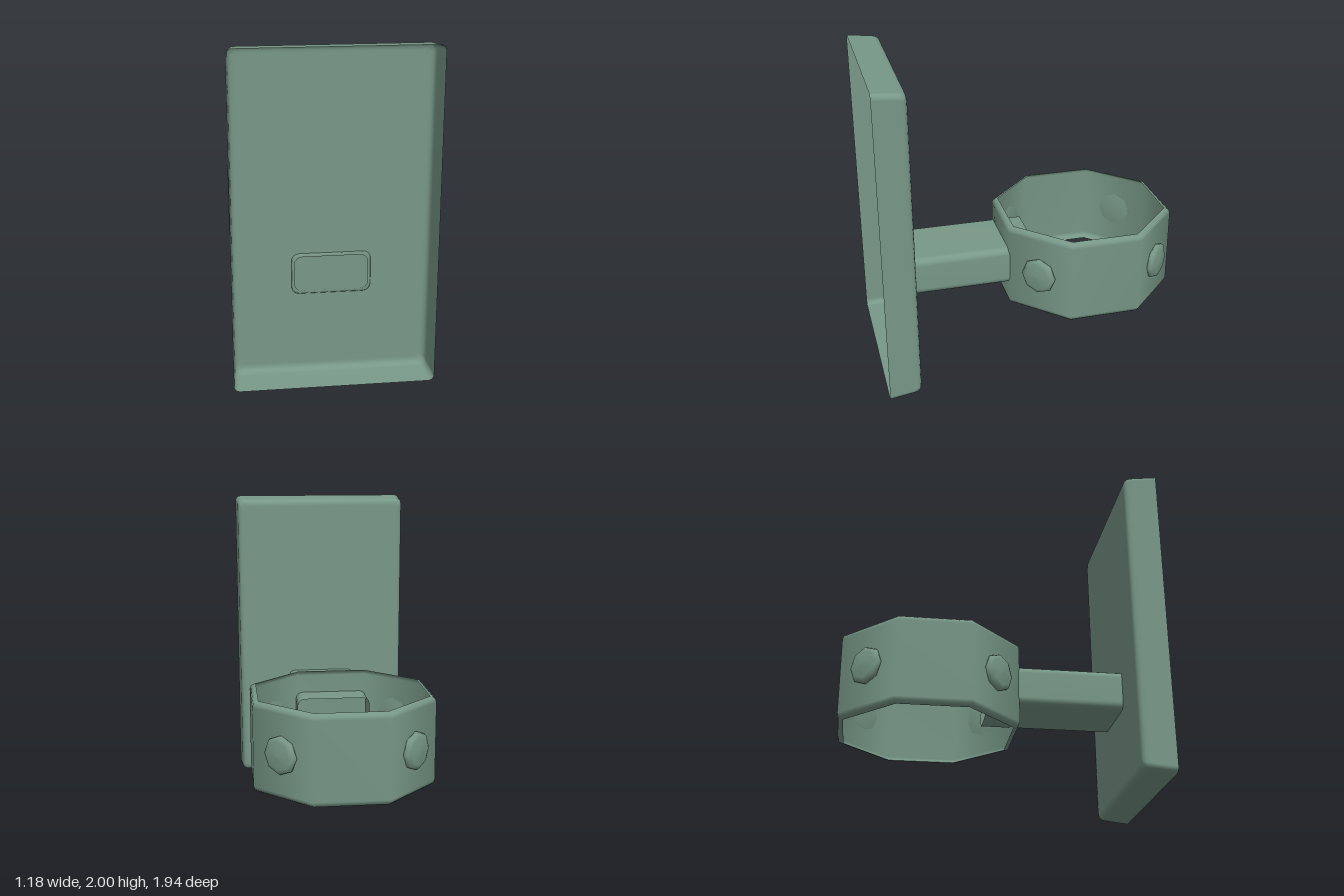
import * as THREE from 'three';

// Rounded rectangle outline, counter-clockwise seen from +z
function roundedLoop(hw, hh, r, z, cy) {
  const pts = [];
  const corners = [[1, 1], [-1, 1], [-1, -1], [1, -1]];
  corners.forEach(([sx, sy], c) => {
    for (let i = 0; i <= 4; i++) {
      const a = (c + i / 4) * Math.PI / 2;
      pts.push([sx * (hw - r) + r * Math.cos(a), cy + sy * (hh - r) + r * Math.sin(a), z]);
    }
  });
  return pts;
}

// Skin through loops ordered from front to back, with an optional back cap
function loft(loops, capCentre) {
  const n = loops[0].length, pos = loops.flat(2), index = [];
  for (let k = 0; k < loops.length - 1; k++) {
    for (let i = 0; i < n; i++) {
      const j = (i + 1) % n, a = k * n, b = a + n;
      index.push(a + i, b + i, a + j, a + j, b + i, b + j);
    }
  }
  if (capCentre) {
    const last = (loops.length - 1) * n, c = loops.length * n;
    pos.push(...capCentre);
    for (let i = 0; i < n; i++) index.push(last + i, c, last + (i + 1) % n);
  }
  const g = new THREE.BufferGeometry();
  g.setAttribute('position', new THREE.Float32BufferAttribute(pos, 3));
  g.setIndex(index);
  g.computeVertexNormals();
  return g;
}

export function createModel() {
  const group = new THREE.Group();
  const green = new THREE.MeshStandardMaterial({ color: 0x789888, side: THREE.DoubleSide });
  green.name = 'greyGreen';
  const add = (geometry, name) => {
    const m = new THREE.Mesh(geometry, green);
    m.name = name;
    group.add(m);
    return m;
  };

  // Shallow tray, open to the front, tapering to a rounded back
  const trayRows = [[0.59, 1, 0.97], [0.578, 0.985, 0.81], [0.574, 0.98, 0.79],
    [0.565, 0.97, 0.775], [0.548, 0.953, 0.768], [0.53, 0.935, 0.768]];
  add(loft(trayRows.map(([w, h, z]) => roundedLoop(w, h, 0.035, z, 1)), [0, 1, 0.768]), 'tray');

  // Hollow arm whose front lip pokes just through the tray floor
  const armRows = [[0.215, 0.106, 0.776], [0.228, 0.12, 0.776], [0.233, 0.125, 0.77], [0.233, 0.125, -0.06]];
  add(loft(armRows.map(([w, h, z]) => roundedLoop(w, h, 0.045, z, 0.635))), 'arm');

  // Eight-sided ring with edges rolled inwards
  const ringZ = -0.422, apothem = 0.545;
  const profile = [[0.508, 0.36], [0.525, 0.363], [0.539, 0.375], [apothem, 0.395],
    [apothem, 0.875], [0.539, 0.895], [0.525, 0.907], [0.508, 0.91]]
    .map(([r, y]) => new THREE.Vector2(r / Math.cos(Math.PI / 8), y));
  add(new THREE.LatheGeometry(profile, 8, Math.PI / 8), 'ring').position.z = ringZ;

  // Domed studs on the four diagonal faces
  const stud = new THREE.LatheGeometry([[0, -0.004], [0.113, -0.004], [0.117, 0.012], [0.11, 0.028],
    [0.085, 0.04], [0, 0.046]].map(([r, y]) => new THREE.Vector2(r, y)), 8);
  stud.rotateX(Math.PI / 2);
  for (let i = 0; i < 4; i++) {
    const a = Math.PI / 4 + i * Math.PI / 2;
    const m = add(stud, 'stud' + (i + 1));
    m.position.set(Math.sin(a) * apothem, 0.635, ringZ + Math.cos(a) * apothem);
    m.rotation.y = a;
  }
  return group;
}
